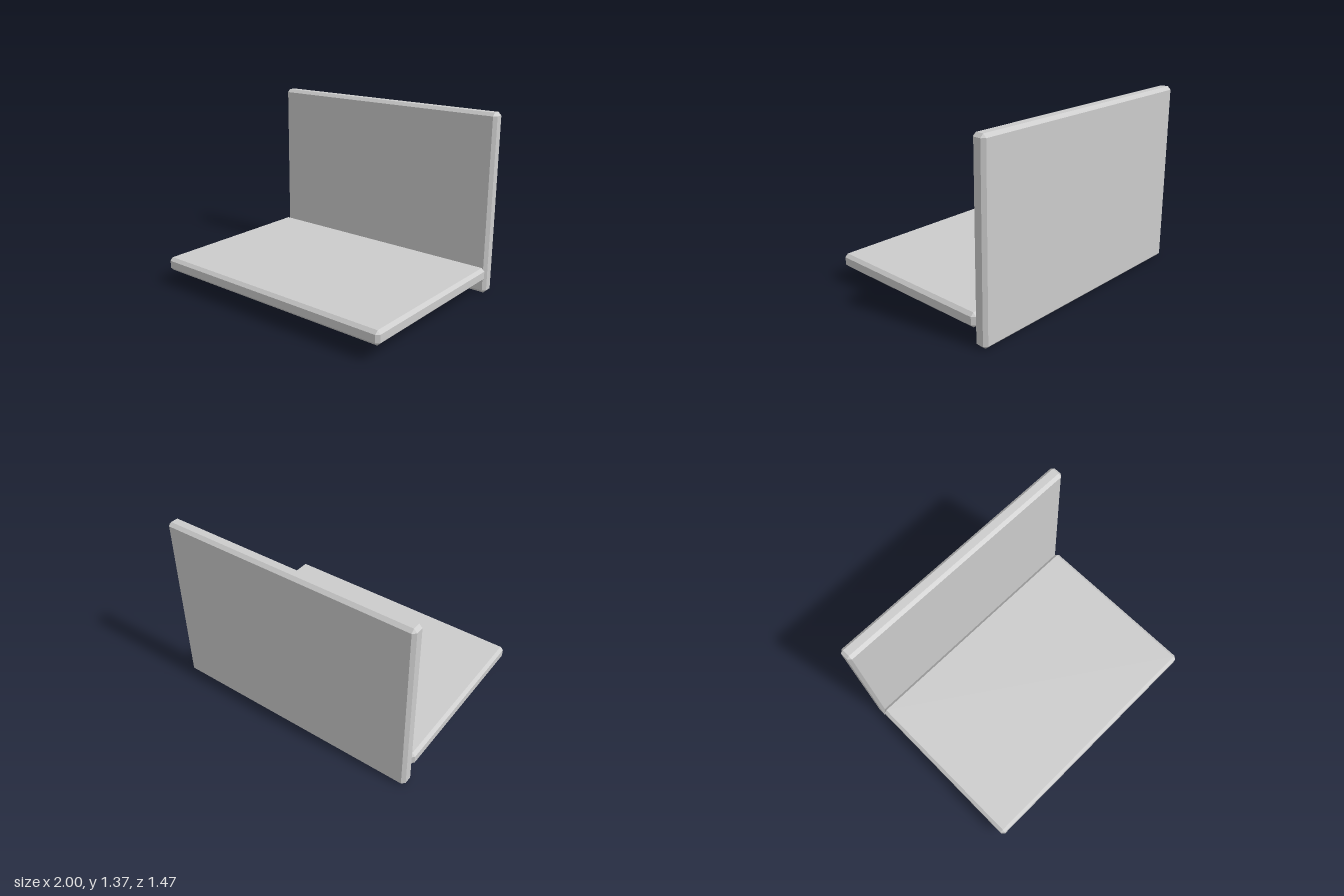
import * as THREE from 'three';
import { ConvexGeometry } from 'three/addons/geometries/ConvexGeometry.js';

const BEVEL = 0.0235;

// Box with flat chamfers on every edge and a small triangle at every corner
function chamferedBox(width, height, depth, bevel) {
  const [x, y, z] = [width / 2, height / 2, depth / 2];
  const points = [];
  for (const sx of [-1, 1]) for (const sy of [-1, 1]) for (const sz of [-1, 1]) {
    points.push(
      new THREE.Vector3(sx * x, sy * (y - bevel), sz * (z - bevel)),
      new THREE.Vector3(sx * (x - bevel), sy * y, sz * (z - bevel)),
      new THREE.Vector3(sx * (x - bevel), sy * (y - bevel), sz * z),
    );
  }
  return new ConvexGeometry(points);
}

export function createModel() {
  const group = new THREE.Group();
  group.name = 'bench';

  const grey = new THREE.MeshStandardMaterial({ color: 0xcccccc });
  grey.name = 'light grey';

  // Slab spanning the full width between the given heights and depths
  function addSlab(name, y0, y1, z0, z1) {
    const mesh = new THREE.Mesh(chamferedBox(2, y1 - y0, z1 - z0, BEVEL), grey);
    mesh.name = name;
    mesh.position.set(0, (y0 + y1) / 2, (z0 + z1) / 2);
    group.add(mesh);
  }

  // Horizontal seat, butting against the upright back
  addSlab('seat', 0.109, 0.213, -0.632, 0.736);
  addSlab('backrest', 0, 1.37, -0.736, -0.632);

  return group;
}
